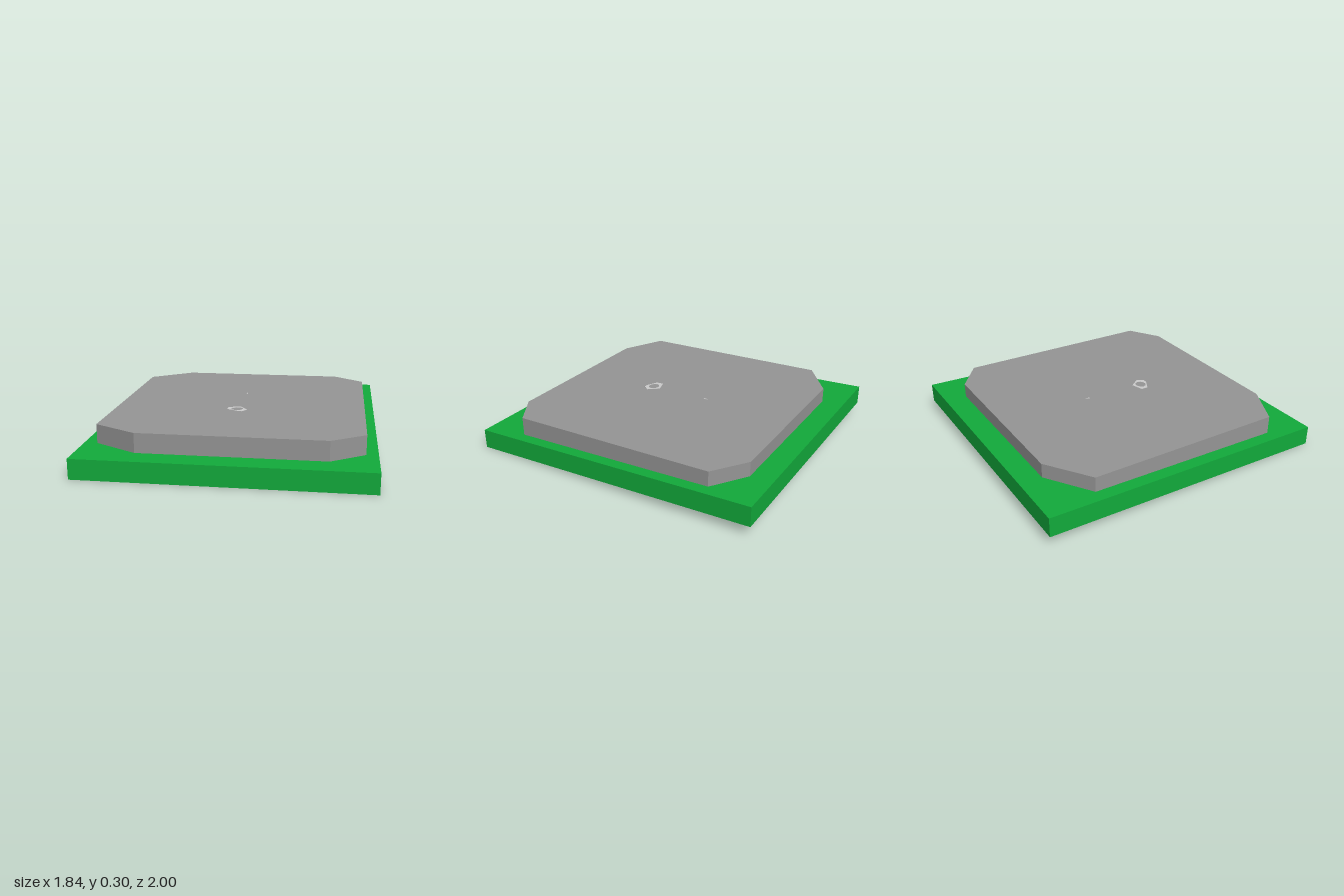
import * as THREE from 'three';

// Prism over an [x, z] outline whose bottom and top follow heights bottom(z) and top(z)
function slopedPrism(name, outline, bottom, top, color, hole) {
  const shape = new THREE.Shape(outline.map(([x, z]) => new THREE.Vector2(x, -z)));
  if (hole) shape.holes.push(new THREE.Path(hole.map(([x, z]) => new THREE.Vector2(x, -z))));
  const geometry = new THREE.ExtrudeGeometry(shape, { depth: 1, bevelEnabled: false });
  geometry.rotateX(-Math.PI / 2);
  const p = geometry.attributes.position;
  for (let i = 0; i < p.count; i++) {
    const z = p.getZ(i);
    p.setY(i, p.getY(i) > 0.5 ? top(z) : bottom(z));
  }
  geometry.computeVertexNormals();
  const mesh = new THREE.Mesh(geometry, new THREE.MeshStandardMaterial({ color, flatShading: true }));
  mesh.name = name;
  return mesh;
}

export function createModel() {
  const group = new THREE.Group();
  group.name = 'slopedPlatform';

  // Heights along z: everything rises gently toward the back
  const baseBottom = z => 0.037 * (1 - z);
  const baseTop = z => baseBottom(z) + 0.131;
  const plateTop = z => 0.28 - 0.02 * z;

  // Green base slab
  const base = [[-0.92, 1], [0.92, 1], [0.92, -1], [-0.92, -1]];
  group.add(slopedPrism('baseSlab', base, baseBottom, baseTop, 0x12aa3b));

  // Grey plate with clipped corners
  const plate = [
    [-0.55, 0.85], [0.63, 0.85], [0.845, 0.71], [0.845, -0.69],
    [0.63, -0.85], [-0.55, -0.85], [-0.835, -0.65], [-0.835, 0.7],
  ];
  group.add(slopedPrism('topPlate', plate, z => baseTop(z) - 0.005, plateTop, 0x959595));

  // Thin irregular ring and a tiny chip lying on the plate
  const ring = [[-0.075, 0.245], [0, 0.285], [0.03, 0.285], [0.06, 0.245], [0.005, 0.17], [-0.075, 0.195]];
  const hole = Array.from({ length: 10 }, (_, i) => {
    const a = i / 10 * Math.PI * 2;
    return [-0.01 + 0.04 * Math.cos(a), 0.23 + 0.036 * Math.sin(a)];
  });
  const chip = [[-0.005, -0.19], [0.008, -0.19], [0.003, -0.22]];
  const lifted = z => plateTop(z) + 0.002;
  group.add(slopedPrism('ring', ring, plateTop, lifted, 0xcccccc, hole));
  group.add(slopedPrism('chip', chip, plateTop, lifted, 0xcccccc));
  return group;
}
